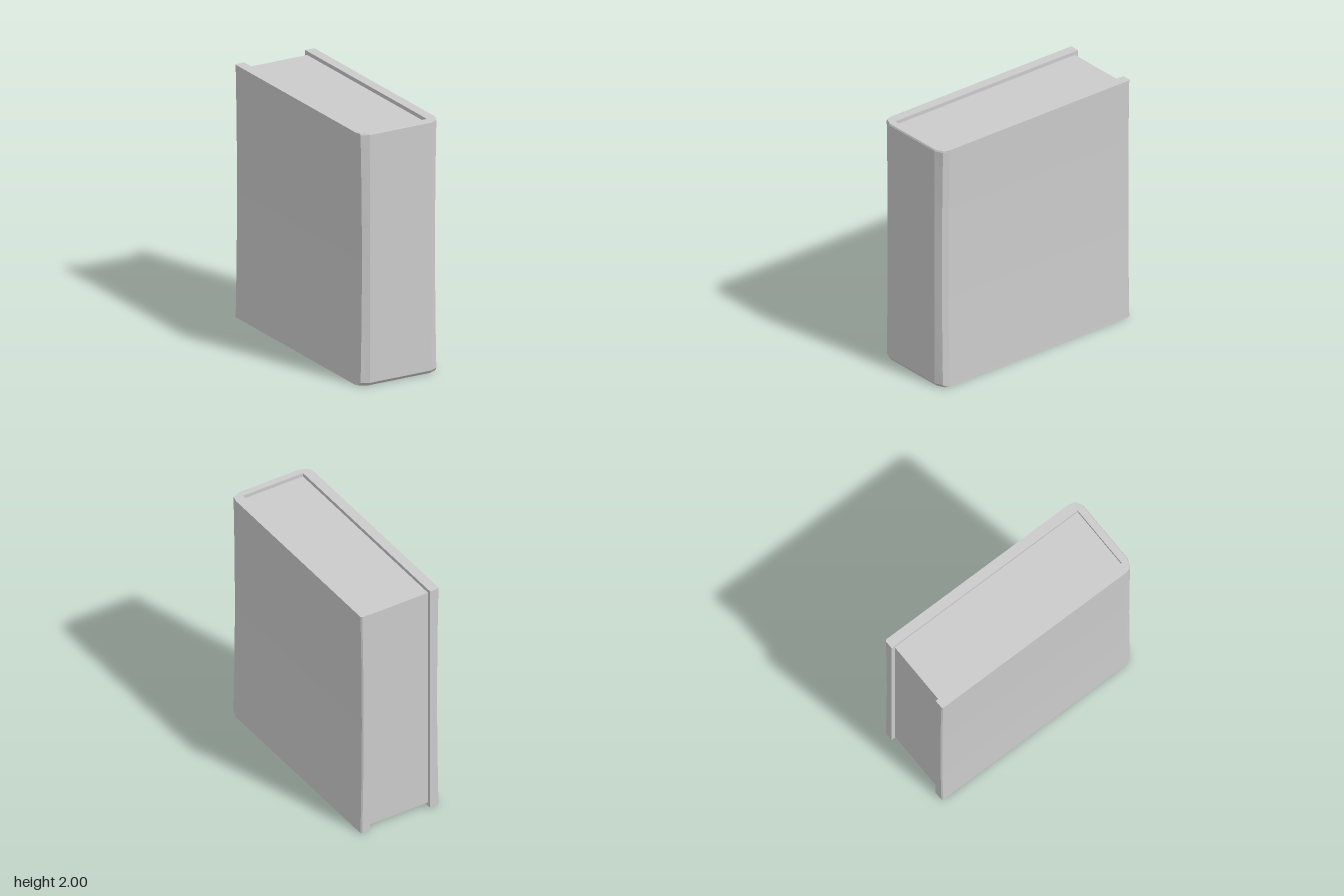
import * as THREE from 'three';

export function createModel() {
  const book = new THREE.Group();
  book.name = 'book';
  const material = new THREE.MeshStandardMaterial({ color: 0xcccccc, flatShading: true });

  // Cover: U-shaped section with a bevelled spine, as [x, z] for the left half
  const half = [
    [0.265, -0.915], [0.335, -0.915], [0.345, -0.905], [0.345, 0.83], [0.33, 0.88], [0.265, 0.91],
  ];
  const inner = [0.265, 0.85];
  const mirror = (pts) => pts.map(([x, z]) => [-x, z]).reverse();
  const outline = [...half, ...mirror(half), [-inner[0], inner[1]], inner];
  const shape = new THREE.Shape(outline.map(([x, z]) => new THREE.Vector2(x, -z)));

  // Rows up the height, closer together at the chamfered spine ends
  const rows = [0, 0.025, 0.25, 0.5, 0.75, 1, 1.25, 1.5, 1.75, 1.988, 2];
  const steps = rows.length - 1;
  const coverGeometry = new THREE.ExtrudeGeometry(shape, { depth: steps, steps, bevelEnabled: false });
  coverGeometry.rotateX(-Math.PI / 2);
  const p = coverGeometry.attributes.position;
  for (let i = 0; i < p.count; i++) {
    const y = rows[Math.round(p.getY(i))];
    let x = p.getX(i), z = p.getZ(i);
    // Slight waist on the outer faces
    if (Math.abs(x) > 0.3) x -= Math.sign(x) * 0.012 * (1 - (y - 1) ** 2);
    // Chamfer at the ends of the spine
    if (z > 0.87) z -= y === 0 ? 0.02 : y === 2 ? 0.006 : 0;
    p.setXYZ(i, x, y, z);
  }
  coverGeometry.computeVertexNormals();
  const cover = new THREE.Mesh(coverGeometry, material);
  cover.name = 'cover';
  book.add(cover);

  // Page block, set back from the cover at top, bottom and fore edge
  const pages = new THREE.Mesh(new THREE.BoxGeometry(0.53, 1.94, 1.735), material);
  pages.name = 'pages';
  pages.position.set(0, 1, -0.0175);
  book.add(pages);

  return book;
}
